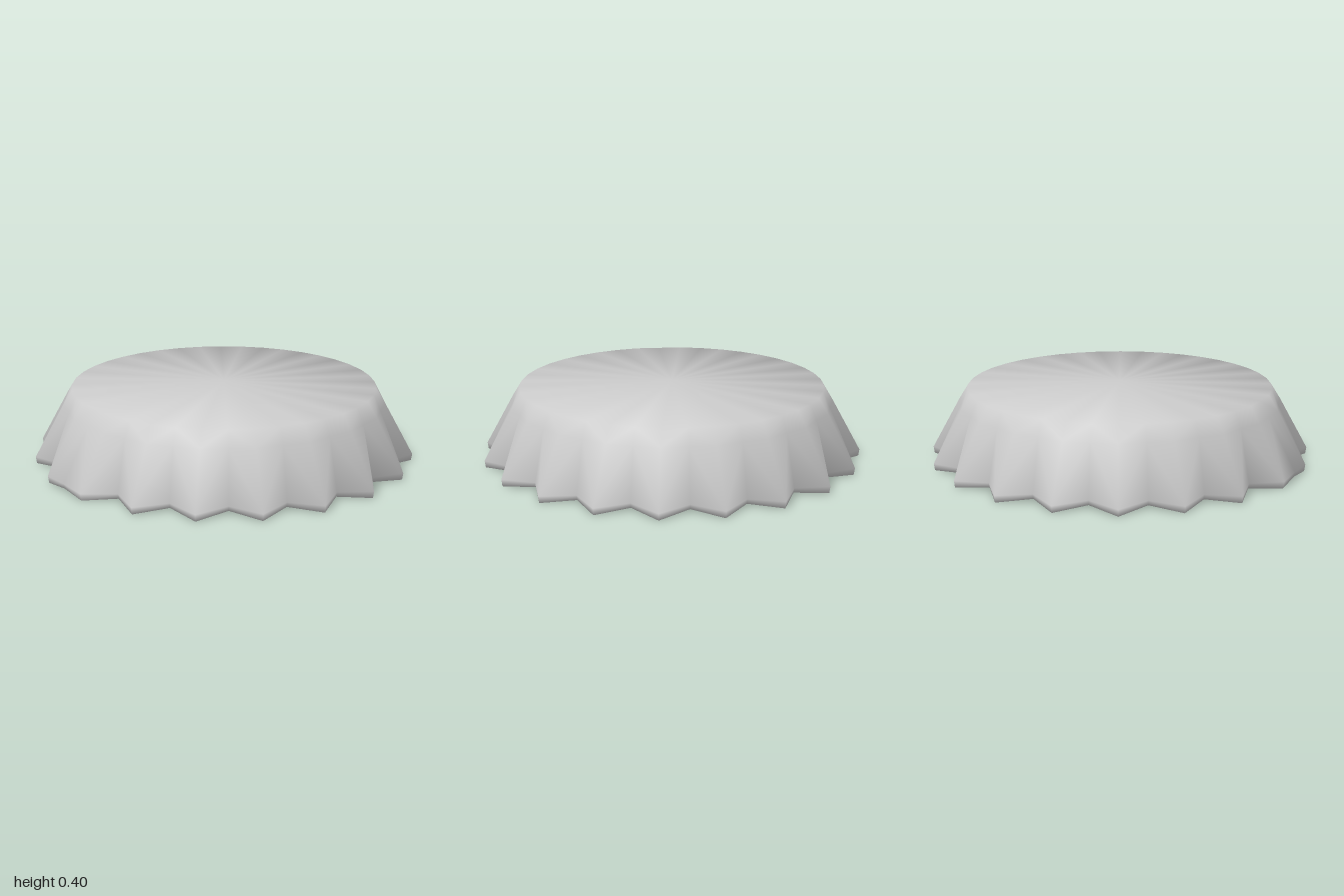
import * as THREE from 'three';

const TEETH = 20;
const COLS = TEETH * 2; // even columns are tooth tips, odd ones are valleys
const FLAT_VALLEY = 29; // the one valley that is not pressed in

// rings from top rim to underside: [tip radius, tip y, valley radius, valley y]
const RINGS = [
  [0.80, 0.385, 0.80, 0.385],
  [0.85, 0.305, 0.835, 0.305],
  [1.00, 0.035, 0.895, 0.04],
  [0.995, 0.0, 0.89, 0.015],
];

// smooth normals in which every face around a vertex counts equally
function setSmoothNormals(geometry) {
  const pos = geometry.attributes.position;
  const index = geometry.index.array;
  const normals = Array.from({ length: pos.count }, () => new THREE.Vector3());
  const a = new THREE.Vector3(), b = new THREE.Vector3(), c = new THREE.Vector3();
  for (let i = 0; i < index.length; i += 3) {
    a.fromBufferAttribute(pos, index[i]);
    b.fromBufferAttribute(pos, index[i + 1]);
    c.fromBufferAttribute(pos, index[i + 2]);
    const n = b.sub(a).cross(c.sub(a)).normalize();
    for (let k = 0; k < 3; k++) normals[index[i + k]].add(n);
  }
  const flat = normals.flatMap((n) => n.normalize().toArray());
  geometry.setAttribute('normal', new THREE.Float32BufferAttribute(flat, 3));
}

function crimpedCapGeometry() {
  const points = [];
  const faces = [];

  // crimped skirt cross-sections
  for (const [tipR, tipY, valleyR, valleyY] of RINGS) {
    for (let j = 0; j < COLS; j++) {
      const angle = (j / COLS) * Math.PI * 2;
      const isTip = j % 2 === 0;
      let r = isTip ? tipR : valleyR;
      if (j === FLAT_VALLEY) r = tipR * Math.cos(Math.PI / TEETH);
      points.push(Math.sin(angle) * r, isTip ? tipY : valleyY, Math.cos(angle) * r);
    }
  }
  const topCentre = points.length / 3;
  points.push(0, 0.4, 0);
  const bottomCentre = topCentre + 1;
  points.push(0, 0.015, 0);

  const last = (RINGS.length - 1) * COLS;
  for (let j = 0; j < COLS; j++) {
    const next = (j + 1) % COLS;
    // shallow crown and closed underside
    faces.push(topCentre, j, next);
    faces.push(bottomCentre, last + next, last + j);
    // skirt, with diagonals mirrored about each tooth
    for (let i = 0; i < RINGS.length - 1; i++) {
      const u = i * COLS + j, v = i * COLS + next;
      const p = u + COLS, q = v + COLS;
      if (j % 2) faces.push(u, p, q, u, q, v);
      else faces.push(u, p, v, p, q, v);
    }
  }

  const geometry = new THREE.BufferGeometry();
  geometry.setAttribute('position', new THREE.Float32BufferAttribute(points, 3));
  geometry.setIndex(faces);
  setSmoothNormals(geometry);
  return geometry;
}

export function createModel() {
  const group = new THREE.Group();
  group.name = 'bottleCap';
  const material = new THREE.MeshStandardMaterial({ color: 0xcccccc });
  const cap = new THREE.Mesh(crimpedCapGeometry(), material);
  cap.name = 'crimpedCap';
  group.add(cap);
  return group;
}
